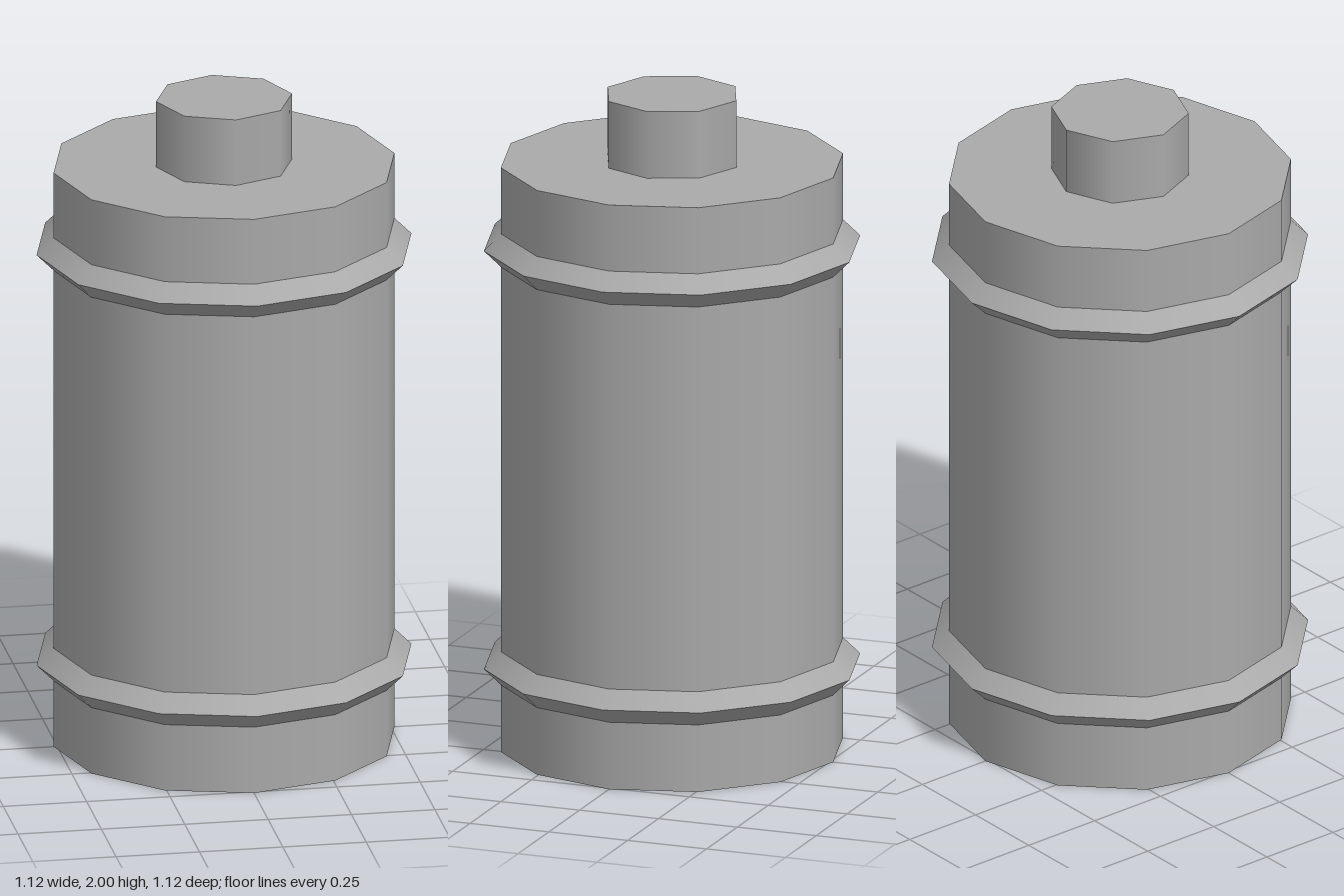
import * as THREE from 'three';

export function createModel() {
  const model = new THREE.Group();
  model.name = 'canister';
  const grey = new THREE.MeshStandardMaterial({ color: 0xaaaaaa });
  grey.name = 'grey';

  // Upright tapered cylinder between two heights
  function addCylinder(name, y0, y1, rBottom, rTop, sides, open = false) {
    const geometry = new THREE.CylinderGeometry(rTop, rBottom, y1 - y0, sides, 1, open);
    const mesh = new THREE.Mesh(geometry, grey);
    mesh.name = name;
    mesh.position.y = (y0 + y1) / 2;
    model.add(mesh);
  }

  const bodyRadius = 0.511;
  const ringRadius = 0.562;
  const ringHalf = 0.051;

  // Body and top knob
  addCylinder('body', 0, 1.795, bodyRadius, bodyRadius, 12);
  addCylinder('knob', 1.795, 2, 0.204, 0.204, 8);

  // Two sharp-edged rings, each with a lower and an upper slope
  for (const [name, y] of [['lowerRing', 0.257], ['upperRing', 1.541]]) {
    addCylinder(name + 'Underside', y - ringHalf, y, bodyRadius, ringRadius, 12, true);
    addCylinder(name + 'Top', y, y + ringHalf, ringRadius, bodyRadius, 12, true);
  }

  return model;
}
